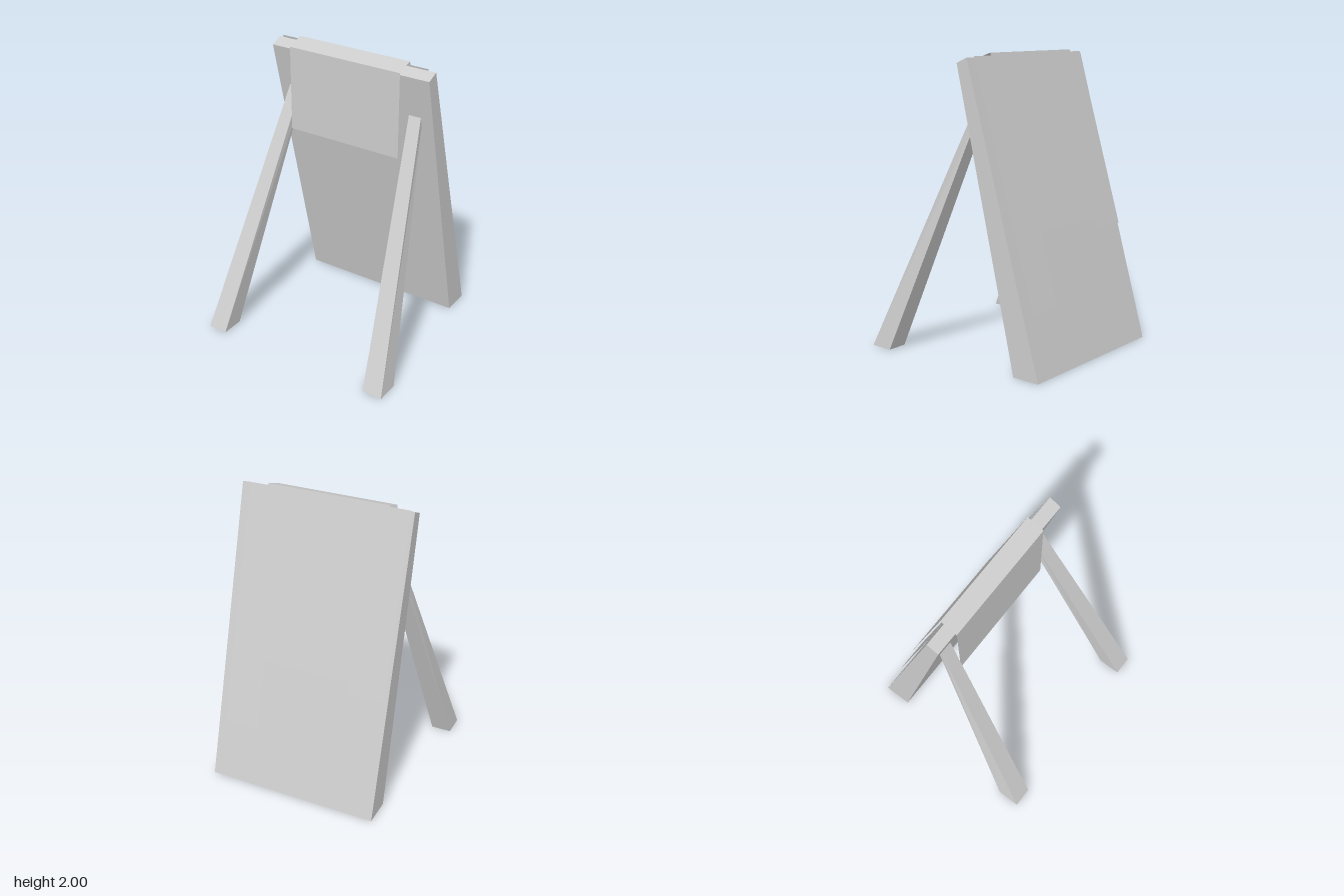
import * as THREE from 'three';

const grey = new THREE.MeshStandardMaterial({ color: 0xcccccc });
grey.name = 'light grey';
const greySheet = grey.clone();
greySheet.side = THREE.DoubleSide;

function facets(name, quads, material) {
  const pos = [];
  for (const [a, b, c, d] of quads) pos.push(...a, ...b, ...c, ...a, ...c, ...d);
  const geo = new THREE.BufferGeometry();
  geo.setAttribute('position', new THREE.Float32BufferAttribute(pos, 3));
  geo.computeVertexNormals();
  const mesh = new THREE.Mesh(geo, material);
  mesh.name = name;
  return mesh;
}

// Four-sided beam between two ends; each end is { x: [min, max], front: [z, y], back: [z, y] }
function beam(name, bottom, top) {
  const ring = ({ x, front, back }) => [
    [x[0], front[1], front[0]], [x[1], front[1], front[0]],
    [x[1], back[1], back[0]], [x[0], back[1], back[0]],
  ];
  const b = ring(bottom), t = ring(top);
  const quads = [t, [...b].reverse()];
  for (let i = 0; i < 4; i++) {
    const j = (i + 1) % 4;
    quads.push([b[i], b[j], t[j], t[i]]);
  }
  return facets(name, quads, grey);
}

// Thin sheet following a [z, y] path, running from front to back
function sheet(name, x0, x1, path) {
  const quads = [];
  for (let i = 0; i + 1 < path.length; i++) {
    const [z0, y0] = path[i], [z1, y1] = path[i + 1];
    quads.push([[x0, y0, z0], [x1, y0, z0], [x1, y1, z1], [x0, y1, z1]]);
  }
  return facets(name, quads, greySheet);
}

export function createModel() {
  const group = new THREE.Group();
  group.name = 'easelBoard';

  // Leaning board, thicker at its foot
  group.add(beam('board',
    { x: [-0.6, 0.6], front: [-0.475, 0], back: [-0.67, 0] },
    { x: [-0.6, 0.6], front: [-0.022, 1.94], back: [-0.104, 1.975] }));

  // Splayed, tapering front legs
  for (const side of [-1, 1]) {
    const span = (inner, outer) => [inner * side, outer * side].sort((a, b) => a - b);
    group.add(beam(side > 0 ? 'leftLeg' : 'rightLeg',
      { x: span(0.58, 0.72), front: [0.67, 0], back: [0.51, 0] },
      { x: span(0.425, 0.513), front: [-0.092, 1.66], back: [-0.106, 1.59] }));
  }

  // Wide sheet folded over the top, hanging straight down in front
  group.add(sheet('drapedSheet', -0.445, 0.4,
    [[-0.005, 1.37], [-0.005, 1.96], [-0.125, 2.0], [-0.46, 0.88]]));

  // Two narrow sheets on the back of the board
  group.add(sheet('longBackSheet', 0.29, 0.54, [[-0.112, 1.982], [-0.585, 0.41]]));
  group.add(sheet('shortBackSheet', -0.58, -0.33, [[-0.112, 1.985], [-0.465, 0.8]]));

  return group;
}
